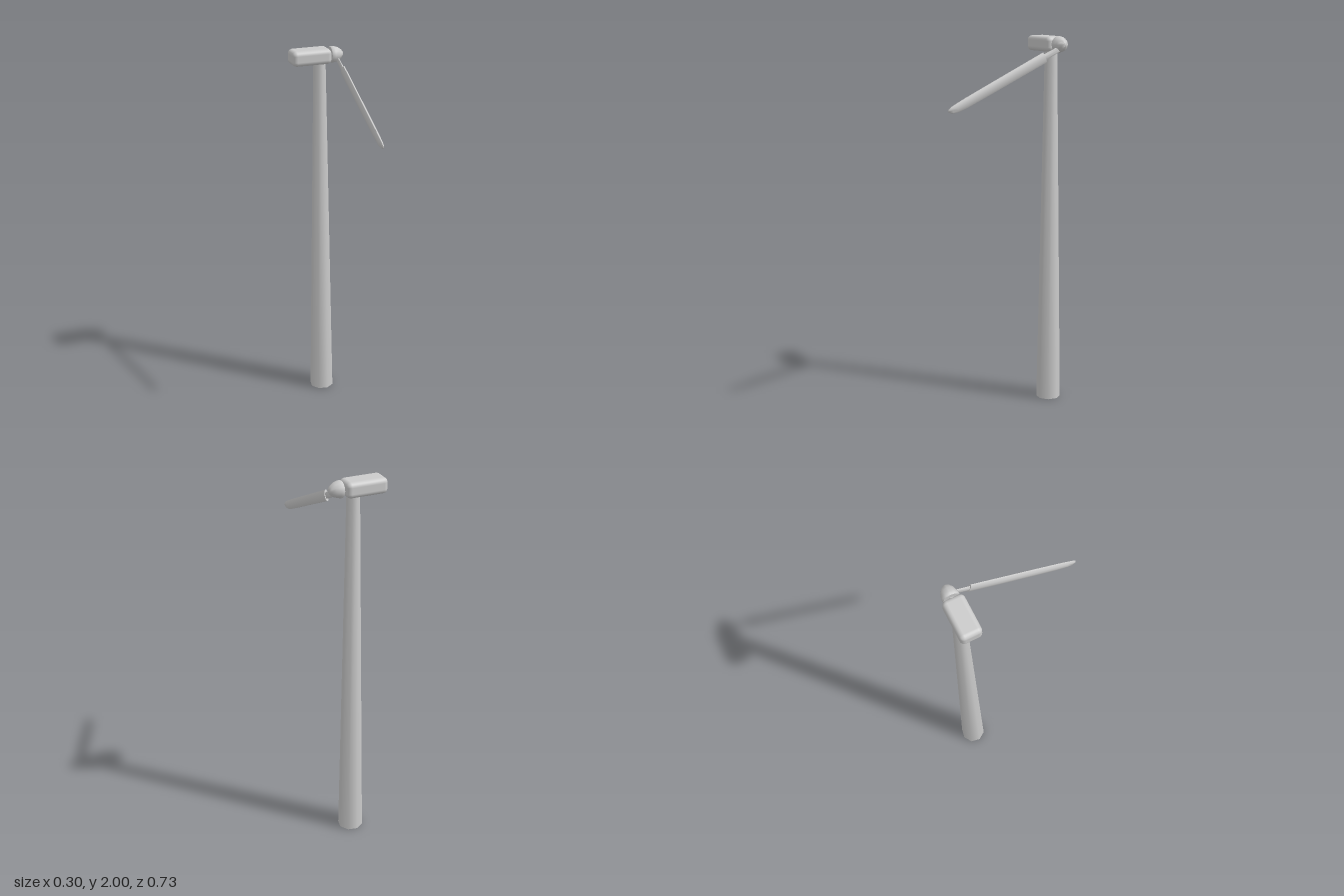
import * as THREE from 'three';
import { toCreasedNormals } from 'three/addons/utils/BufferGeometryUtils.js';
import { RoundedBoxGeometry } from 'three/addons/geometries/RoundedBoxGeometry.js';

const AXIS_Z = -0.3;
const material = new THREE.MeshStandardMaterial({ color: 0xcccccc });

function addPart(parent, name, geometry, x = 0, y = 0, z = 0) {
  const mesh = new THREE.Mesh(geometry, material);
  mesh.name = name;
  mesh.position.set(x, y, z);
  parent.add(mesh);
  return mesh;
}

// Skins oval sections along z: [z, half thickness, half width, width offset]
function loft(sections, sides, sweep) {
  const positions = [];
  const index = [];
  sections.forEach(([z, thick, wide, offset], i) => {
    for (let j = 0; j < sides; j++) {
      const a = (j / sides) * Math.PI * 2;
      positions.push(Math.cos(a) * thick + sweep * z, Math.sin(a) * wide + offset, z);
      if (i === sections.length - 1) continue;
      const p = i * sides + j;
      const q = i * sides + ((j + 1) % sides);
      index.push(p, q, q + sides, p, q + sides, p + sides);
    }
  });
  const geometry = new THREE.BufferGeometry();
  geometry.setAttribute('position', new THREE.Float32BufferAttribute(positions, 3));
  geometry.setIndex(index);
  return toCreasedNormals(geometry, 0.9);
}

// Surface of revolution around x from [x, radius] pairs
function turned(profile, sides) {
  const points = profile.map(([x, r]) => new THREE.Vector2(r, x));
  const geometry = new THREE.LatheGeometry(points, sides);
  geometry.rotateZ(-Math.PI / 2);
  return toCreasedNormals(geometry, 0.9);
}

export function createModel() {
  const model = new THREE.Group();
  model.name = 'windTurbine';

  // Tapered eight-sided tower
  const towerHeight = 1.935;
  const tower = addPart(model, 'tower',
    new THREE.CylinderGeometry(0.033, 0.066, towerHeight, 8), 0.012, towerHeight / 2, AXIS_Z);
  tower.rotation.y = THREE.MathUtils.degToRad(12);

  // Generator housing with rounded edges
  addPart(model, 'nacelle',
    new RoundedBoxGeometry(0.215, 0.08, 0.113, 3, 0.024), -0.0415, 1.96, AXIS_Z - 0.002);

  // Rotor: shaft, nose cone and a single blade
  const rotor = new THREE.Group();
  rotor.name = 'rotor';
  rotor.position.set(0, 1.96, AXIS_Z - 0.002);
  model.add(rotor);

  addPart(rotor, 'shaft', turned([[0.04, 0], [0.04, 0.013], [0.09, 0.013], [0.09, 0]], 10));
  addPart(rotor, 'noseCone', turned([
    [0.073, 0], [0.073, 0.04], [0.079, 0.044], [0.092, 0.043],
    [0.114, 0.036], [0.133, 0.023], [0.142, 0.011], [0.147, 0],
  ], 12));

  const blade = new THREE.Group();
  blade.name = 'blade';
  blade.position.set(0.108, -0.016, 0);
  blade.rotation.x = THREE.MathUtils.degToRad(24.5);
  rotor.add(blade);

  const sweep = -0.0155;
  addPart(blade, 'bladeRoot', loft([
    [0, 0, 0, 0], [0, 0.007, 0.014, 0], [0.13, 0.007, 0.018, 0], [0.13, 0, 0, 0],
  ], 10, sweep));
  addPart(blade, 'bladeBody', loft([
    [0.113, 0, 0, 0], [0.113, 0.0105, 0.029, 0], [0.3, 0.0115, 0.028, 0],
    [0.5, 0.0115, 0.027, 0], [0.62, 0.011, 0.026, 0], [0.68, 0.01, 0.023, 0.001],
    [0.71, 0.008, 0.018, 0.004], [0.727, 0.005, 0.01, 0.007], [0.733, 0, 0, 0.009],
  ], 10, sweep));

  return model;
}
